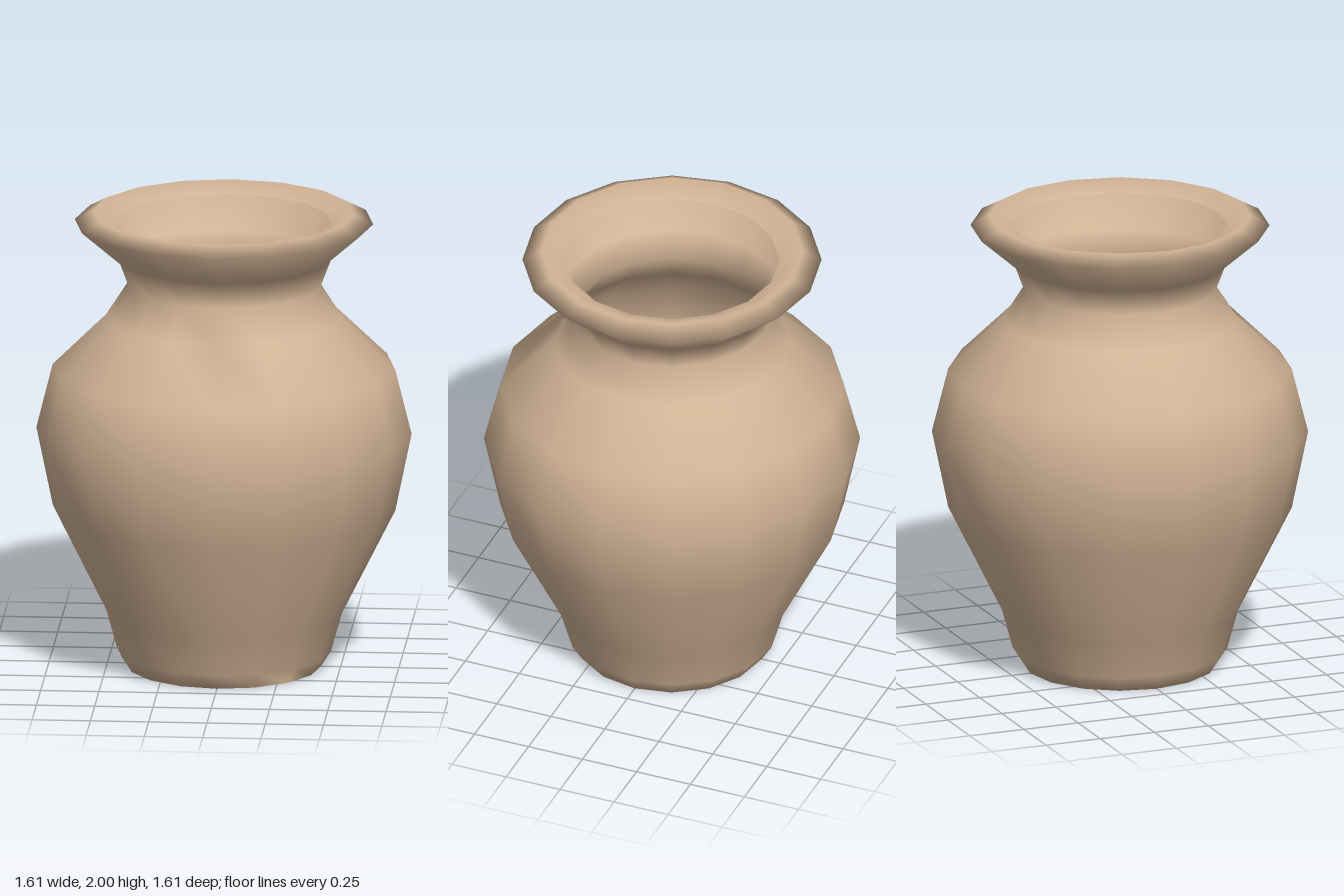
import * as THREE from 'three';
import { mergeVertices } from 'three/addons/utils/BufferGeometryUtils.js';

const SIDES = 16;

// Single-walled profile, from the foot up over the rolled lip: [radius, height]
const PROFILE = [
  [0.415, 0], [0.46, 0.07], [0.505, 0.235], [0.735, 0.695], [0.805, 1.035],
  [0.735, 1.315], [0.505, 1.54], [0.415, 1.68], [0.46, 1.8],
  [0.64, 1.957], [0.56, 2.0], [0.46, 1.96],
];

export function createModel() {
  const group = new THREE.Group();
  group.name = 'vase';

  const points = PROFILE.map(([r, y]) => new THREE.Vector2(r, y));
  let geometry = new THREE.LatheGeometry(points, SIDES);

  // Weld the seam so the wall shades smoothly all the way round
  geometry.deleteAttribute('normal');
  geometry.deleteAttribute('uv');
  geometry = mergeVertices(geometry, 1e-4);

  // Close the foot with a flat fan that shares the wall's lowest ring
  const index = Array.from(geometry.index.array);
  const n = PROFILE.length;
  for (let i = 1; i < SIDES - 1; i++) index.push(0, (i + 1) * n, i * n);
  geometry.setIndex(index);
  geometry.computeVertexNormals();

  const clay = new THREE.MeshStandardMaterial({ color: 0xd2b496, side: THREE.DoubleSide });
  const body = new THREE.Mesh(geometry, clay);
  body.name = 'vaseBody';
  group.add(body);
  return group;
}
